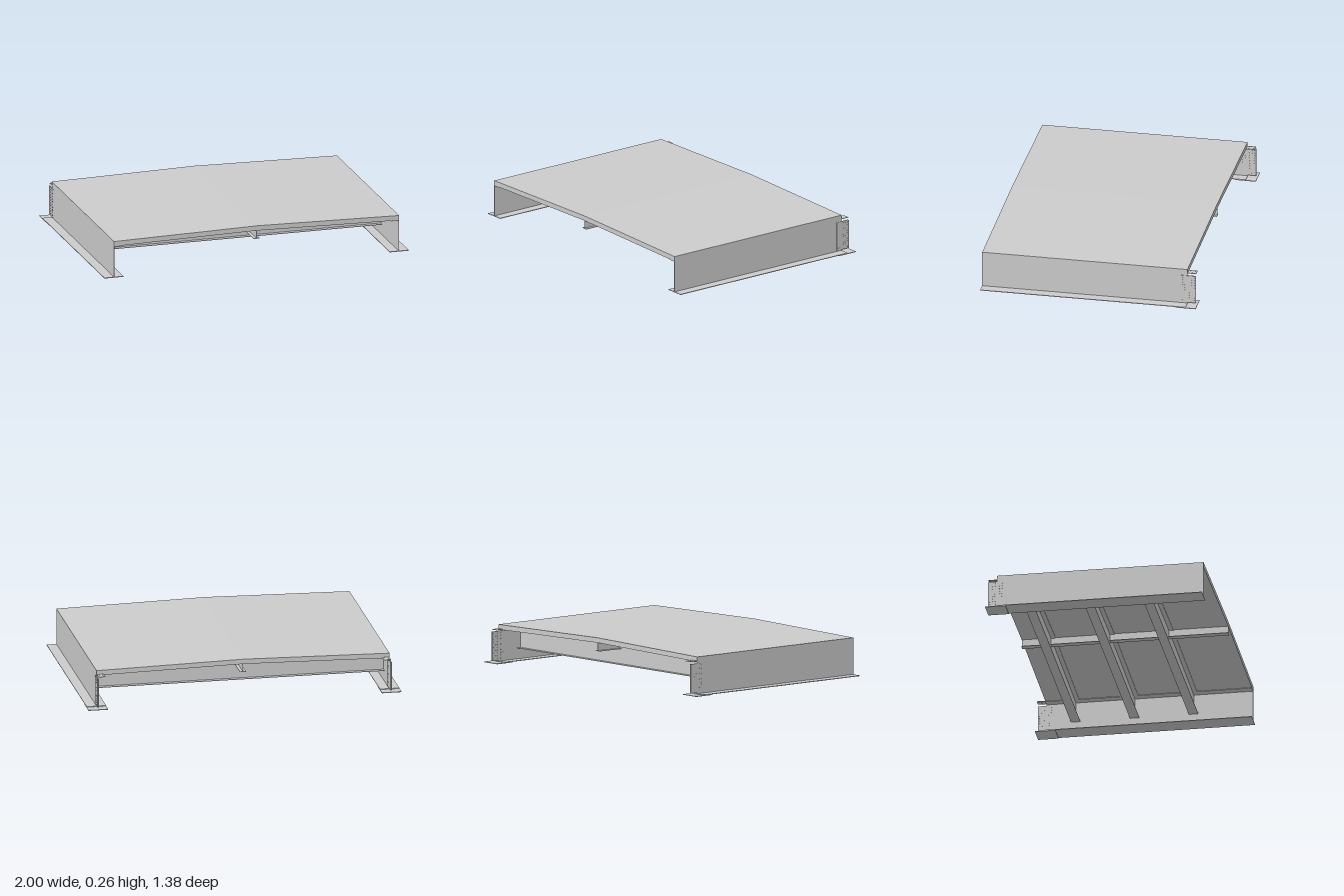
import * as THREE from 'three';
import { mergeGeometries } from 'three/addons/utils/BufferGeometryUtils.js';

const FRONT = 0.69, BACK = -0.625, HALF = 0.937;
const GRADE = 0.0055; // the bridge climbs gently towards the back
const CROWN = 0.018; // the deck rises to its centre line

const material = new THREE.MeshStandardMaterial({ color: 0xcccccc, flatShading: true });

// Shear a geometry along the longitudinal grade and wrap it in a named mesh
function part(name, geometry) {
  const p = geometry.attributes.position;
  for (let i = 0; i < p.count; i++) p.setY(i, p.getY(i) + (FRONT - p.getZ(i)) * GRADE);
  geometry.computeVertexNormals();
  const mesh = new THREE.Mesh(geometry, material);
  mesh.name = name;
  return mesh;
}

// Box given by its limits
function box(x0, x1, y0, y1, z0, z1) {
  return new THREE.BoxGeometry(x1 - x0, y1 - y0, z1 - z0)
    .translate((x0 + x1) / 2, (y0 + y1) / 2, (z0 + z1) / 2);
}

// Slab following the crown, from edge heights y0..y1, optionally with a flat bottom
function crowned(half, y0, y1, z0, z1, flatBottom = false) {
  const edge = CROWN * (1 - half / HALF);
  const low = flatBottom ? 0 : edge;
  const shape = new THREE.Shape([
    new THREE.Vector2(-half, y0 + low),
    new THREE.Vector2(0, y0 + (flatBottom ? 0 : CROWN)),
    new THREE.Vector2(half, y0 + low),
    new THREE.Vector2(half, y1 + edge),
    new THREE.Vector2(0, y1 + CROWN),
    new THREE.Vector2(-half, y1 + edge),
  ]);
  return new THREE.ExtrudeGeometry(shape, { depth: z1 - z0, bevelEnabled: false }).translate(0, 0, z0);
}

// Side girder: web, flanges and the bolted splice at its back end
function girder(side) {
  const g = new THREE.Group();
  g.name = side > 0 ? 'leftGirder' : 'rightGirder';
  const sideBox = (a, b, ...rest) => box(Math.min(a * side, b * side), Math.max(a * side, b * side), ...rest);
  g.add(part('web', sideBox(0.934, HALF, 0.005, 0.208, BACK, FRONT)));
  g.add(part('bottomFlange', sideBox(0.875, 1, 0.002, 0.006, BACK, FRONT)));
  g.add(part('topFlange', sideBox(0.885, 0.934, 0.205, 0.208, BACK, FRONT)));
  g.add(part('bottomSplicePlate', sideBox(0.875, 1, -0.002, 0.002, -0.69, -0.56)));
  g.add(part('topSplicePlate', sideBox(0.89, 0.935, 0.211, 0.214, -0.68, -0.575)));
  g.add(part('innerSplicePlate', sideBox(0.931, 0.934, 0.012, 0.197, -0.68, -0.585)));
  g.add(part('outerSplicePlate', sideBox(HALF, 0.94, 0.012, 0.197, -0.68, -0.585)));

  const bolts = [];
  const columns = [-0.593, -0.608, -0.637, -0.653, -0.67];
  for (const z of columns) {
    // web bolts run right through both plates
    for (let i = 0; i < 10; i++) {
      bolts.push(new THREE.CylinderGeometry(0.003, 0.003, 0.012, 6)
        .rotateZ(Math.PI / 2).translate(0.9355 * side, 0.025 + i * 0.0177, z));
    }
    // flange bolts
    for (const x of [0.9, 0.925]) {
      bolts.push(new THREE.CylinderGeometry(0.003, 0.003, 0.006, 6).translate(x * side, 0.2125, z));
    }
  }
  g.add(part('spliceBolts', mergeGeometries(bolts)));
  return g;
}

// Cross beam between the girders
function crossBeam(z) {
  const g = new THREE.Group();
  g.name = 'crossBeam';
  g.add(part('web', crowned(0.934, 0.076, 0.206, z - 0.002, z + 0.002, true)));
  g.add(part('bottomFlange', box(-0.934, 0.934, 0.074, 0.077, z - 0.03, z + 0.03)));
  g.add(part('topFlange', crowned(0.934, 0.204, 0.2075, z - 0.03, z + 0.03)));
  return g;
}

export function createModel() {
  const model = new THREE.Group();
  model.name = 'bridgeSection';

  model.add(part('deck', crowned(HALF, 0.2075, 0.239, BACK, FRONT)));
  for (const side of [-1, 1]) model.add(girder(side));
  for (const z of [0.31, -0.065, -0.44]) model.add(crossBeam(z));

  // Central stringer under the crown
  const stringer = new THREE.Group();
  stringer.name = 'centreStringer';
  stringer.add(part('web', box(-0.001, 0.001, 0.174, 0.226, BACK, FRONT)));
  stringer.add(part('bottomFlange', box(-0.02, 0.02, 0.172, 0.175, BACK, FRONT)));
  model.add(stringer);

  return model;
}
